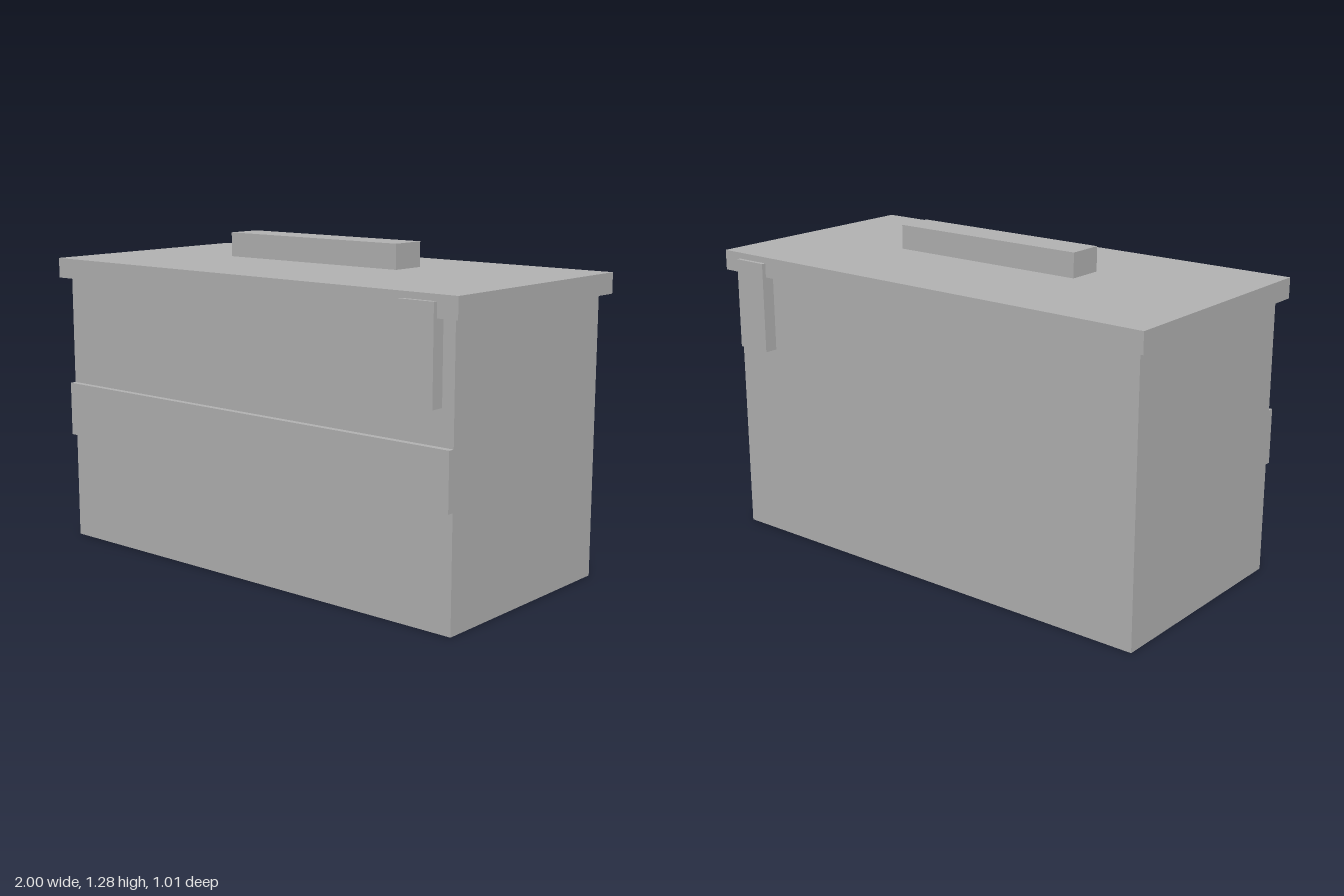
import * as THREE from 'three';

export function createModel() {
  const group = new THREE.Group();
  const grey = new THREE.MeshStandardMaterial({ color: 0xb2b2b2 });
  grey.name = 'grey';

  // Box given by its lower and upper limits on each axis
  function addBox(name, [x0, x1], [y0, y1], [z0, z1]) {
    const mesh = new THREE.Mesh(new THREE.BoxGeometry(x1 - x0, y1 - y0, z1 - z0), grey);
    mesh.position.set((x0 + x1) / 2, (y0 + y1) / 2, (z0 + z1) / 2);
    mesh.name = name;
    group.add(mesh);
  }

  addBox('body', [-0.965, 0.965], [0, 1.09], [-0.453, 0.453]);
  addBox('lid', [-1, 1], [1.09, 1.17], [-0.49, 0.49]);

  // Grip hovering just above the lid
  addBox('handle', [-0.42, 0.42], [1.183, 1.279], [-0.073, 0.073]);

  // Raised band across the front
  addBox('frontBand', [-0.965, 0.965], [0.436, 0.654], [0.453, 0.478]);

  // Latches over the lid edge at the left end, front and back
  addBox('frontLatch', [0.77, 0.915], [0.787, 1.146], [0.453, 0.507]);
  addBox('backLatch', [0.77, 0.915], [0.787, 1.146], [-0.507, -0.453]);

  return group;
}
